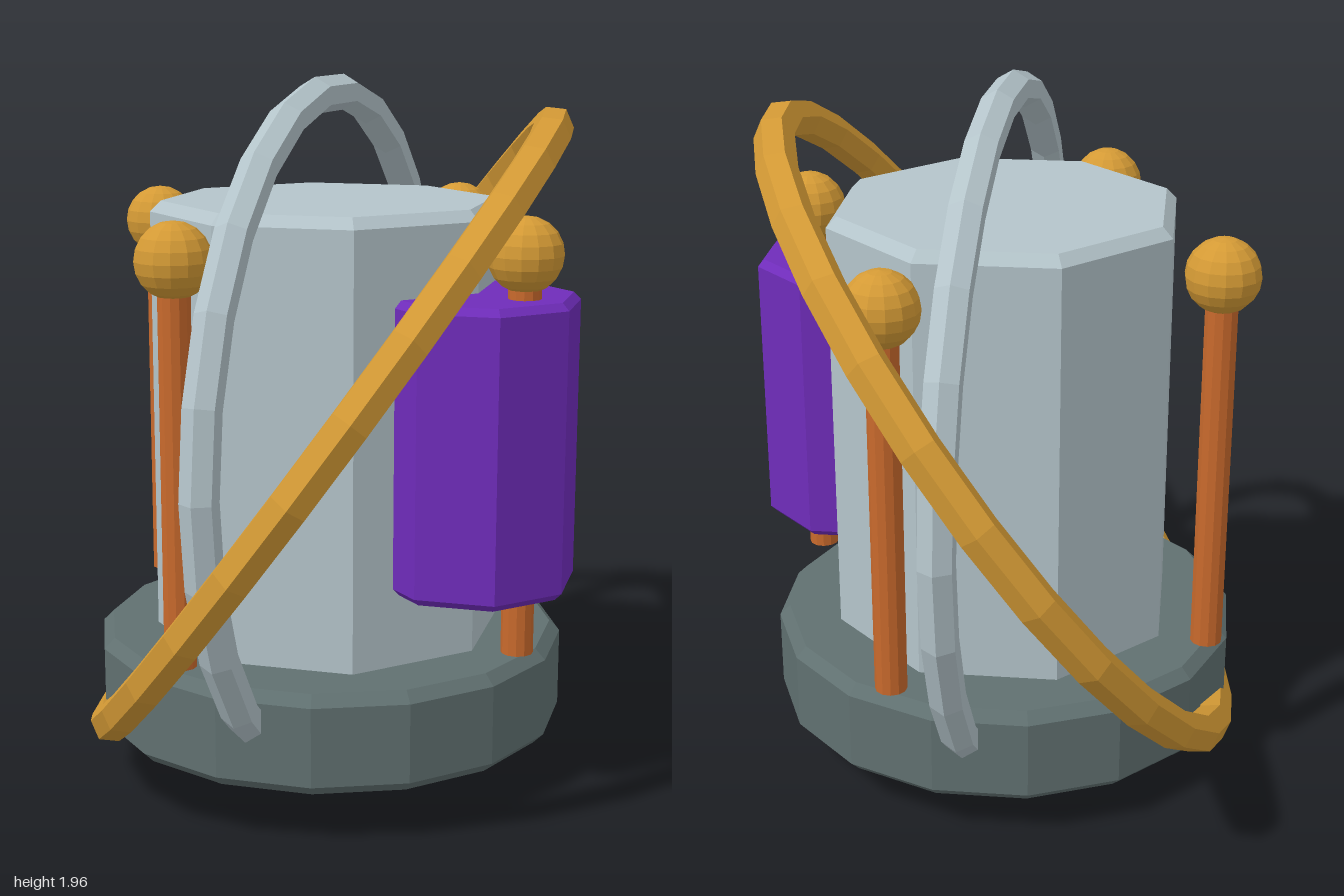
import * as THREE from 'three';

function mat(name, color) {
  const m = new THREE.MeshStandardMaterial({ color });
  m.name = name;
  return m;
}

// Faceted normals for low-poly parts
function facet(geometry) {
  const g = geometry.index ? geometry.toNonIndexed() : geometry;
  g.computeVertexNormals();
  return g;
}

// Closed prism with bevelled rims
function prism(radius, y0, y1, sides, bevel, phase = 0) {
  const profile = [
    [0, y0], [radius - bevel, y0], [radius, y0 + bevel],
    [radius, y1 - bevel], [radius - bevel, y1], [0, y1],
  ].map(([x, y]) => new THREE.Vector2(x, y));
  return facet(new THREE.LatheGeometry(profile, sides, phase));
}

export function createModel() {
  const slate = mat('slate', 0x607070);
  const silver = mat('silver', 0xb4c4ca);
  const copper = mat('copper', 0xc8692c);
  const gold = mat('gold', 0xd49a35);
  const purple = mat('purple', 0x6f2cba);

  const model = new THREE.Group();
  model.name = 'ringedDevice';
  const add = (name, geometry, material, x = 0, y = 0, z = 0, parent = model) => {
    const mesh = new THREE.Mesh(geometry, material);
    mesh.name = name;
    mesh.position.set(x, y, z);
    parent.add(mesh);
    return mesh;
  };

  // Base, octagonal body and the block set into its front corner
  add('base', prism(0.67, 0.12, 0.4, 16, 0.03, Math.PI / 16), slate);
  add('body', prism(0.5, 0.3, 1.62, 8, 0.03), silver);
  add('frontBlock', prism(0.28, 0.6, 1.4, 8, 0.02), purple, 0, 0, 0.5);

  // Four posts with ball tops, floating just above the base
  const rod = facet(new THREE.CylinderGeometry(0.044, 0.044, 1.03, 12));
  const ball = facet(new THREE.SphereGeometry(0.102, 14, 10));
  ['front', 'left', 'back', 'right'].forEach((side, i) => {
    const a = i * Math.PI / 2;
    const post = new THREE.Group();
    post.name = side + 'Post';
    post.position.set(Math.sin(a) * 0.645, 0, Math.cos(a) * 0.645);
    post.rotation.y = a;
    add('rod', rod, copper, 0, 0.945, 0, post);
    add('ball', ball, gold, 0, 1.515, 0, post);
    model.add(post);
  });

  // Upright ring, turned about the vertical axis
  const upright = add('uprightRing', facet(new THREE.TorusGeometry(0.935, 0.05, 6, 26)), silver, 0, 0.98, 0);
  upright.rotation.y = 0.32;

  // Larger tilted ring
  const tilted = add('tiltedRing', facet(new THREE.TorusGeometry(1.045, 0.055, 6, 28)), gold, 0, 0.98, 0);
  tilted.quaternion.setFromUnitVectors(
    new THREE.Vector3(0, 0, 1), new THREE.Vector3(0.42, -0.59, 0.69).normalize());

  return model;
}
